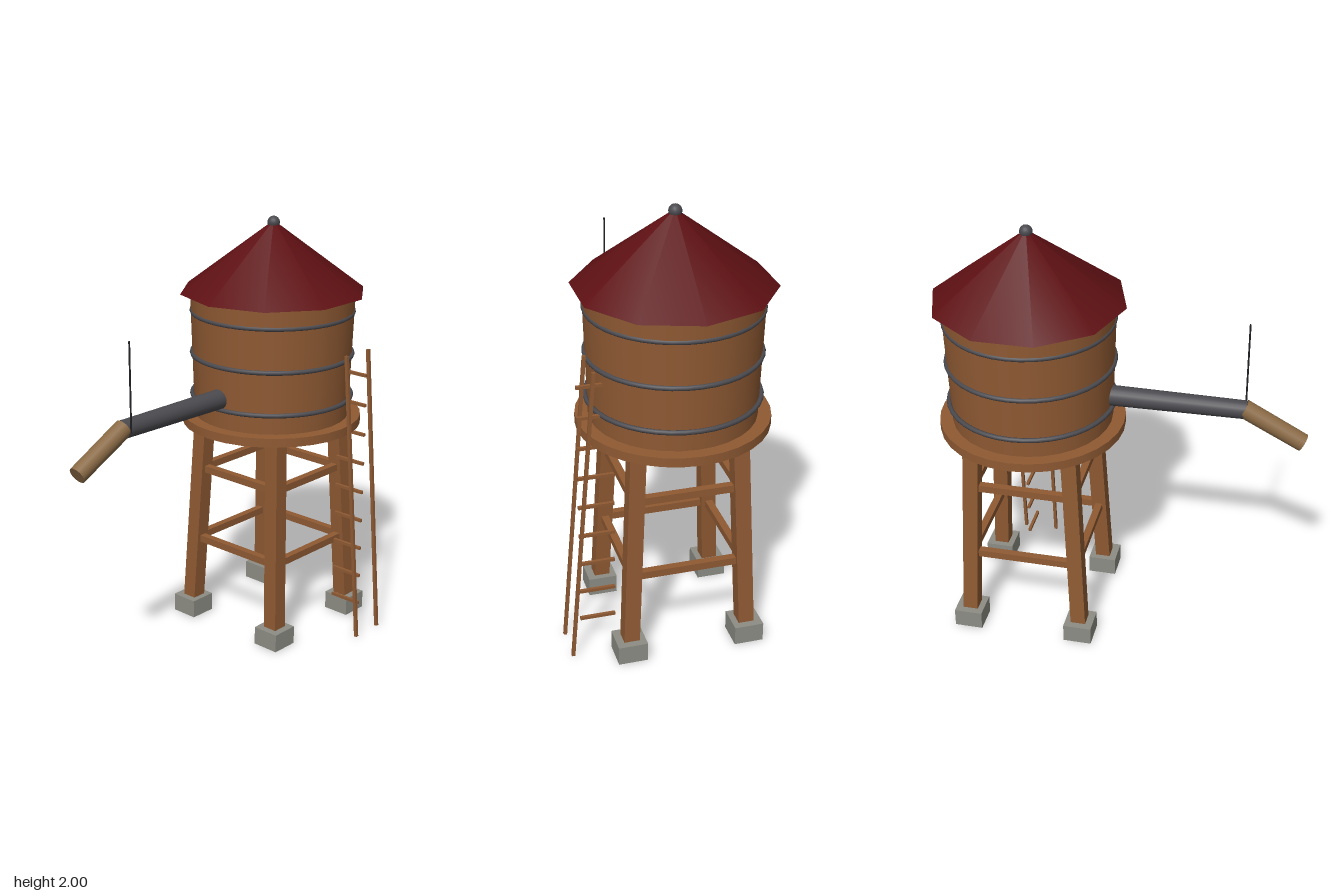
import * as THREE from 'three';

const mat = (name, color, double) => {
  const m = new THREE.MeshStandardMaterial({ color });
  m.name = name;
  if (double) m.side = THREE.DoubleSide;
  return m;
};

export function createModel() {
  const wood = mat('wood', 0x8f5a33);
  const red = mat('roof red', 0x5e1013, true);
  const metal = mat('dark metal', 0x4a4a4f);
  const black = mat('black iron', 0x222226);
  const stone = mat('concrete', 0x8d8d85);
  const tan = mat('tan spout', 0x8a6a45);

  const model = new THREE.Group();
  model.name = 'waterTower';
  // the tower stands behind the origin, the spout reaches forward
  const tower = new THREE.Group();
  tower.name = 'tower';
  tower.position.set(-0.05, 0, -0.41);
  model.add(tower);

  const add = (parent, name, geo, material, x = 0, y = 0, z = 0) => {
    const mesh = new THREE.Mesh(geo, material);
    mesh.name = name;
    mesh.position.set(x, y, z);
    parent.add(mesh);
    return mesh;
  };
  // a bar or pipe running between two points
  const between = (parent, name, geoFor, material, a, b) => {
    const dir = b.clone().sub(a);
    const mesh = add(parent, name, geoFor(dir.length()), material);
    mesh.position.copy(a).add(b).multiplyScalar(0.5);
    mesh.quaternion.setFromUnitVectors(new THREE.Vector3(0, 1, 0), dir.normalize());
    return mesh;
  };
  const v = (x, y, z) => new THREE.Vector3(x, y, z);

  // tank, platform, roof and finial
  add(tower, 'tank', new THREE.CylinderGeometry(0.388, 0.368, 0.6, 32), wood, 0, 1.355, 0);
  add(tower, 'platform', new THREE.CylinderGeometry(0.427, 0.427, 0.042, 32), wood, 0, 1.041, 0);
  add(tower, 'roof', new THREE.ConeGeometry(0.44, 0.33, 10), red, 0, 1.815, 0);
  add(tower, 'finial', new THREE.SphereGeometry(0.029, 16, 12), metal, 0, 1.971, 0);

  // hoops round the tank
  for (const y of [1.155, 1.357, 1.56]) {
    const hoop = add(tower, 'hoop', new THREE.TorusGeometry(0.38, 0.011, 8, 40), metal, 0, y, 0);
    hoop.rotation.x = Math.PI / 2;
  }

  // leaning legs on concrete feet
  const low = 0.271, high = 0.226, top = 1.03;
  for (const sx of [-1, 1]) {
    for (const sz of [-1, 1]) {
      between(tower, 'leg', (l) => new THREE.BoxGeometry(0.071, l, 0.071), wood,
        v(sx * low, 0.006, sz * low), v(sx * high, top, sz * high));
      add(tower, 'foot', new THREE.BoxGeometry(0.133, 0.088, 0.133), stone, sx * 0.27, 0.049, sz * 0.27);
    }
  }

  // cross beams on all four sides at two heights
  for (const y of [0.41, 0.775]) {
    const d = low + (high - low) * (y / top);
    for (const s of [-1, 1]) {
      add(tower, 'beam', new THREE.BoxGeometry(2 * d, 0.034, 0.034), wood, 0, y, s * d);
      add(tower, 'beam', new THREE.BoxGeometry(0.034, 0.034, 2 * d), wood, s * d, y, 0);
    }
  }

  // spout pipe, bent nozzle and pull rod
  between(model, 'spoutPipe', (l) => new THREE.CylinderGeometry(0.042, 0.047, l, 20), metal,
    v(-0.05, 1.202, -0.05), v(-0.05, 1.205, 0.575));
  between(model, 'nozzle', (l) => new THREE.CylinderGeometry(0.041, 0.043, l, 20), tan,
    v(-0.05, 1.211, 0.56), v(-0.05, 1.067, 0.832));
  add(model, 'pullRod', new THREE.CylinderGeometry(0.004, 0.004, 0.405, 8), black, 0, 1.403, 0.563);

  // ladder: two leaning rails and a row of rungs
  const ladder = new THREE.Group();
  ladder.name = 'ladder';
  model.add(ladder);
  for (const z of [-0.465, -0.627]) {
    between(ladder, 'rail', (l) => new THREE.BoxGeometry(0.015, l, 0.015), wood,
      v(0.466, 0.006, z), v(0.354, 1.397, z));
  }
  for (let i = 0; i < 9; i++) {
    add(ladder, 'rung', new THREE.BoxGeometry(0.16, 0.014, 0.014), wood, 0.331, 0.139 + i * 0.1447, -0.546);
  }
  return model;
}
